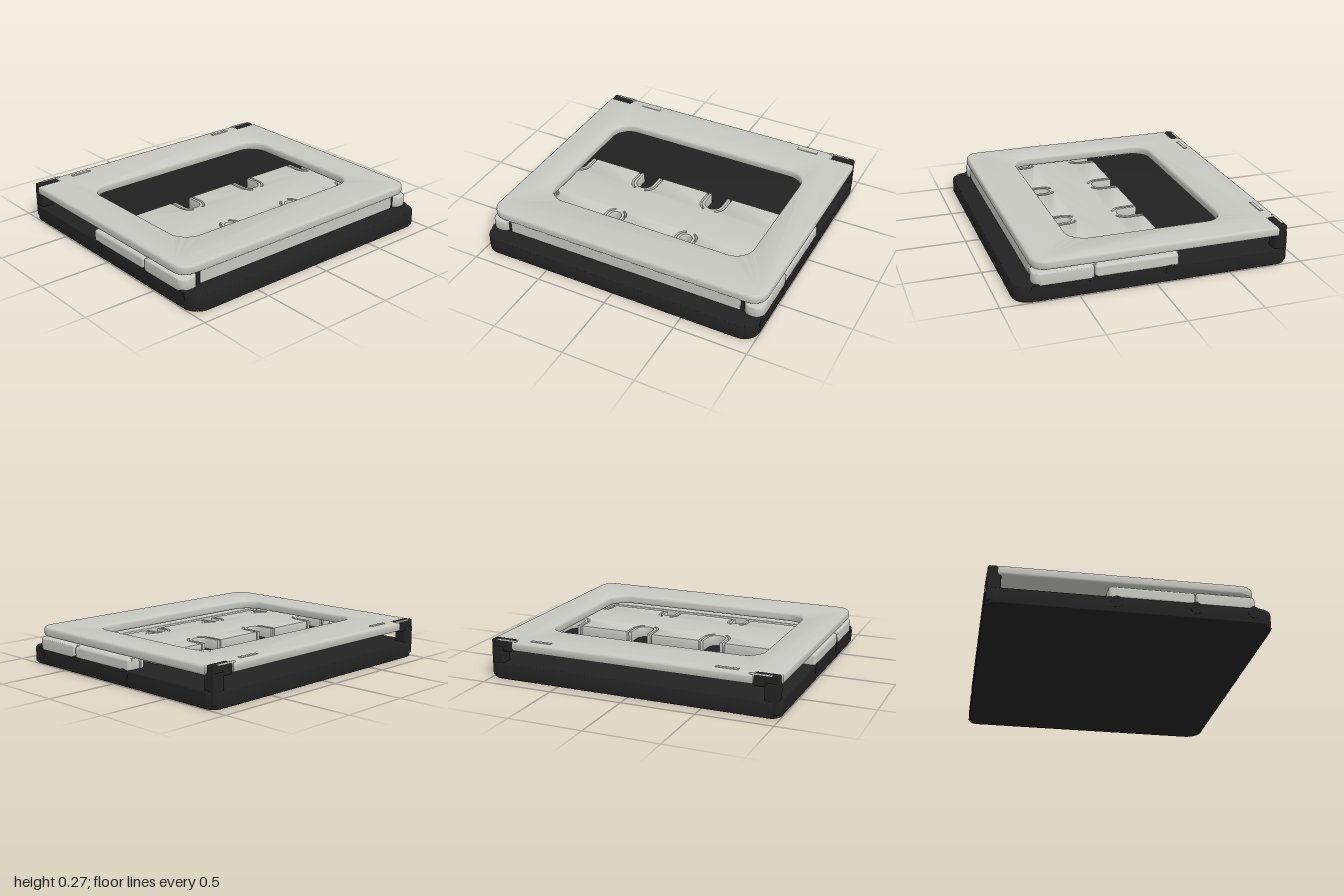
import * as THREE from 'three';
import { toCreasedNormals } from 'three/addons/utils/BufferGeometryUtils.js';
import { RoundedBoxGeometry } from 'three/addons/geometries/RoundedBoxGeometry.js';

const light = new THREE.MeshStandardMaterial({ color: 0xc8c8c2 });
light.name = 'warm grey plastic';
const dark = new THREE.MeshStandardMaterial({ color: 0x222222 });
dark.name = 'black plastic';

// Rounded rectangle in plan; front and back corners can have different radii
function plan(x0, x1, z0, z1, rFront, rBack = rFront, ShapeType = THREE.Shape) {
  const s = new ShapeType(), f = -z1, b = -z0;
  s.moveTo(x0 + rFront, f);
  s.lineTo(x1 - rFront, f);
  s.absarc(x1 - rFront, f + rFront, rFront, -Math.PI / 2, 0);
  s.absarc(x1 - rBack, b - rBack, rBack, 0, Math.PI / 2);
  s.absarc(x0 + rBack, b - rBack, rBack, Math.PI / 2, Math.PI);
  s.absarc(x0 + rFront, f + rFront, rFront, Math.PI, Math.PI * 1.5);
  return s;
}

// Extrudes a plan shape upwards from y0 to y1 with softened edges
function slab(shape, y0, y1, bevel, segments = 4) {
  const g = new THREE.ExtrudeGeometry(shape, {
    depth: y1 - y0 - 2 * bevel, bevelEnabled: true, bevelThickness: bevel,
    bevelSize: bevel, bevelOffset: -bevel, bevelSegments: segments, curveSegments: 10,
  });
  g.rotateX(-Math.PI / 2);
  g.translate(0, y0 + bevel, 0);
  return toCreasedNormals(g, 0.6);
}

// Outline points of a U slot with a thin groove on each side, left to right
function slotPoints(c, zc, r, zEdge, dir) {
  const pts = [];
  const arc = (rad, a0, a1) => {
    for (let i = 0; i <= 8; i++) {
      const a = a0 + (a1 - a0) * i / 8;
      pts.push([c + rad * Math.cos(a), zc + dir * rad * Math.sin(a)]);
    }
  };
  const edge = (dx) => pts.push([c + dx, zEdge]);
  const outer = r + 0.034, inner = r + 0.021, sweep = 1.1, PI = Math.PI;
  edge(-outer);
  arc(outer, PI, PI - sweep);
  arc(inner, PI - sweep, PI);
  edge(-inner);
  edge(-r);
  arc(r, PI, 0);
  edge(r);
  edge(inner);
  arc(inner, 0, sweep);
  arc(outer, sweep, 0);
  edge(outer);
  return pts;
}

export function createModel() {
  const model = new THREE.Group();
  const add = (name, geometry, material, parent = model) => {
    const m = new THREE.Mesh(geometry, material);
    m.name = name;
    parent.add(m);
    return m;
  };
  const box = (name, x0, x1, y0, y1, z0, z1, material, r = 0.006) => {
    const g = new RoundedBoxGeometry(x1 - x0, y1 - y0, z1 - z0, 2, r);
    g.translate((x0 + x1) / 2, (y0 + y1) / 2, (z0 + z1) / 2);
    return add(name, g, material);
  };
  // Sides mirrored: range a..b along x on both sides
  const pair = (name, a, b, ...rest) => {
    box(name + 'Left', a, b, ...rest);
    box(name + 'Right', -b, -a, ...rest);
  };

  // Base
  add('base', slab(plan(-1, 1, -0.905, 0.905, 0.11, 0.07), 0, 0.112, 0.012), dark);

  // Lid with window and notched back corners for the hinges
  const lid = new THREE.Shape();
  lid.moveTo(-0.9, -0.79);
  lid.lineTo(0.9, -0.79);
  lid.absarc(0.9, -0.69, 0.1, -Math.PI / 2, 0);
  [[1, 0.835], [0.83, 0.835], [0.83, 0.9], [-0.83, 0.9], [-0.83, 0.835], [-1, 0.835]]
    .forEach(([x, y]) => lid.lineTo(x, y));
  lid.lineTo(-1, -0.69);
  lid.absarc(-0.9, -0.69, 0.1, Math.PI, Math.PI * 1.5);
  lid.holes.push(plan(-0.75, 0.75, -0.56, 0.48, 0.13, 0.13, THREE.Path));
  add('lid', slab(lid, 0.2, 0.265, 0.018), light);
  box('lidFrontLip', -0.85, 0.85, 0.115, 0.21, 0.71, 0.78, light);
  pair('lidTab', 0.57, 0.72, 0.25, 0.27, -0.855, -0.83, light, 0.003);

  // Tray with slots along its back and front edges
  const centres = [-0.815, -0.27, 0.27, 0.815], back = -0.15, front = 0.44;
  const outline = [
    [-0.97, back],
    ...centres.flatMap((c) => slotPoints(c, -0.05, 0.06, back, 1)),
    [0.97, back], [0.97, front],
    ...centres.flatMap((c) => slotPoints(c, 0.372, 0.04, front, -1)).reverse(),
    [-0.97, front],
  ];
  // Front slots are listed left to right, so the whole run is reversed above
  const tray = new THREE.Shape(outline.map(([x, z]) => new THREE.Vector2(x, -z)));
  add('tray', slab(tray, 0.1, 0.185, 0.004, 2), light);
  box('frontTray', -0.86, 0.86, 0.1, 0.185, 0.48, 0.72, light);

  // Side rails and front corner blocks of the tray
  pair('sideRail', 0.94, 1, 0.1, 0.185, back, 0.397, light, 0.02);
  for (const [name, x0, x1] of [['Left', 0.87, 1], ['Right', -1, -0.87]]) {
    const s = plan(x0, x1, 0.403, 0.79, 0.05, 0.01);
    add('cornerBlock' + name, slab(s, 0.1, 0.185, 0.01), light);
  }
  pair('latchPost', 0.848, 0.875, 0.1, 0.195, 0.72, 0.77, dark);

  // Small bumps on the rim of the base
  for (const x of [-0.985, 0.985]) {
    for (const z of [-0.1, 0.4, 0.77]) {
      const g = new THREE.CylinderGeometry(0.04, 0.04, 0.034, 20);
      g.rotateZ(Math.PI / 2);
      g.translate(x, 0.077, z);
      add('rimBump', g, dark);
    }
  }

  // Hinge posts and their knuckles
  pair('hingePost', 0.9, 0.99, 0.02, 0.225, -0.9, -0.81, dark, 0.015);
  pair('hingeCap', 0.83, 0.99, 0.19, 0.267, -0.895, -0.833, dark, 0.012);
  pair('hingeKnuckle', 0.8, 0.95, 0.235, 0.27, -0.892, -0.872, light, 0.006);

  return model;
}
